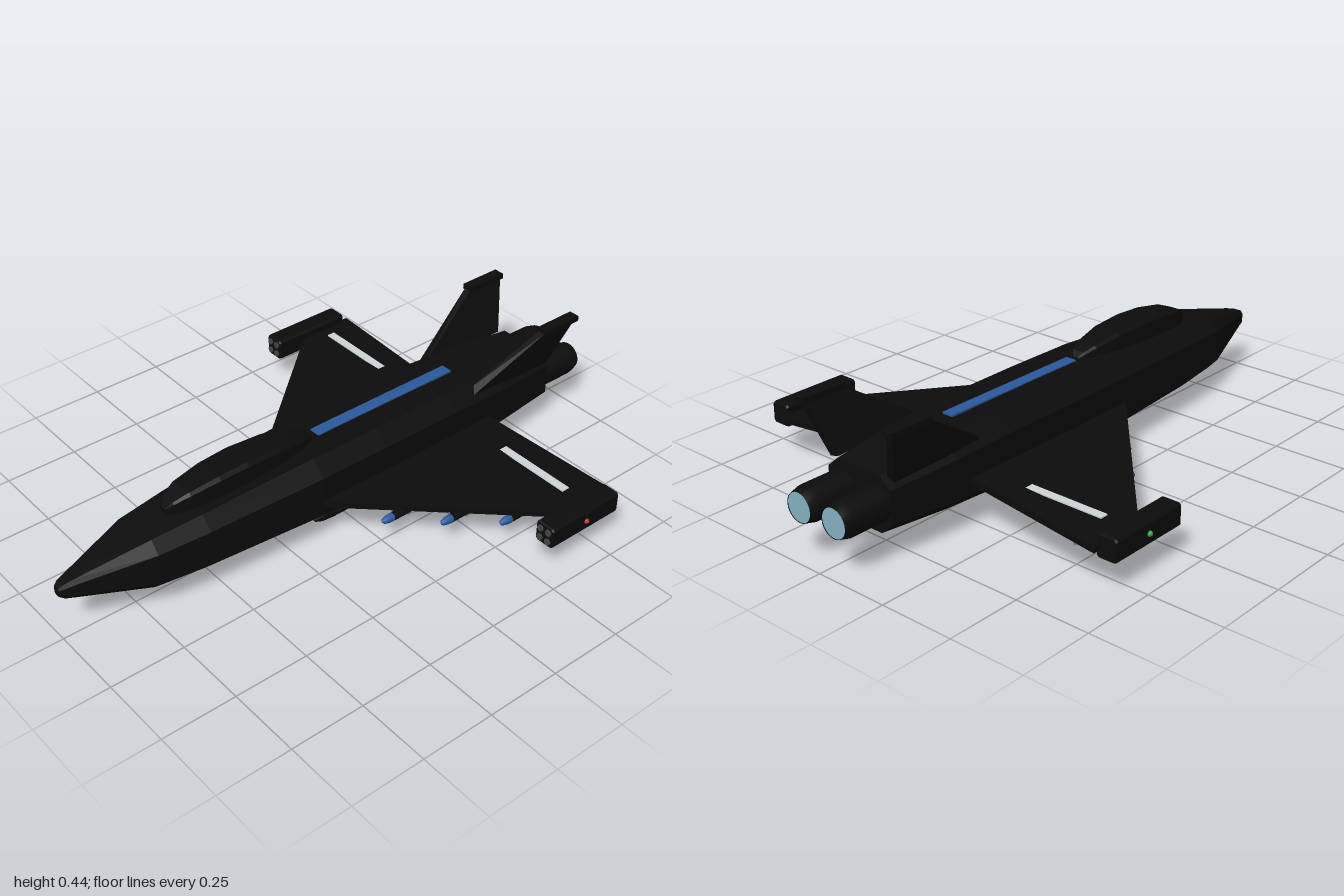
import * as THREE from 'three';
import { ConvexGeometry } from 'three/addons/geometries/ConvexGeometry.js';

const mat = (color, flatShading = false) =>
  new THREE.MeshStandardMaterial({ color, flatShading, side: THREE.DoubleSide });
const black = mat(0x0c0c0c, true), dark = mat(0x0c0c0c), grey = mat(0x44464a), blue = mat(0x2a5a9c);
const white = mat(0xd0d6d8), glow = mat(0x86b4c4), red = mat(0xc03038), green = mat(0x30a850), steel = mat(0x8a8e90);

function add(parent, name, geometry, material, x = 0, y = 0, z = 0) {
  const m = new THREE.Mesh(geometry, material);
  m.name = name;
  m.position.set(x, y, z);
  parent.add(m);
  return m;
}
const box = (w, h, d) => new THREE.BoxGeometry(w, h, d);

// Chamfered eight-sided loft; sections run front to back as [z, halfWidth, yBottom, yTop]
function loft(sections, kx, ky) {
  const pos = [], idx = [], n = 8;
  for (const [z, w, y0, y1] of sections) {
    const a = w * (1 - kx), c = (y1 - y0) * ky;
    pos.push(w, y0 + c, z, w, y1 - c, z, a, y1, z, -a, y1, z,
      -w, y1 - c, z, -w, y0 + c, z, -a, y0, z, a, y0, z);
  }
  const last = (sections.length - 1) * n;
  for (let i = 0; i < last; i += n) {
    for (let j = 0; j < n; j++) {
      const k = (j + 1) % n;
      idx.push(i + j, i + n + j, i + k, i + k, i + n + j, i + n + k);
    }
  }
  for (let j = 1; j < n - 1; j++) idx.push(0, j, j + 1, last, last + j + 1, last + j);
  const g = new THREE.BufferGeometry();
  g.setAttribute('position', new THREE.Float32BufferAttribute(pos, 3));
  g.setIndex(idx);
  const flat = g.toNonIndexed();
  flat.computeVertexNormals();
  return flat;
}

// Convex solid from corners, mirrored by s
const hull = (points, s) => new ConvexGeometry(points.map(([x, y, z]) => new THREE.Vector3(x * s, y, z)));

// Turned body along z from [radius, z] points
function turned(points, segments = 16) {
  return new THREE.LatheGeometry(points.map(([r, z]) => new THREE.Vector2(r, z)), segments).rotateX(Math.PI / 2);
}

// Underwing missile, nose tip at local z = 0
function missile() {
  const g = new THREE.Group();
  g.name = 'missile';
  add(g, 'missileNose', turned([[0.014, -0.045], [0.013, -0.025], [0.009, -0.009], [0, 0]]), blue);
  add(g, 'missileBody', turned([[0, -0.275], [0.012, -0.275], [0.014, -0.27], [0.014, -0.045]]), dark);
  for (const [z, len] of [[-0.12, 0.025], [-0.258, 0.03]]) {
    add(g, 'missileFinFlat', box(0.054, 0.003, len), steel, 0, 0, z);
    add(g, 'missileFinUpright', box(0.003, 0.054, len), steel, 0, 0, z);
  }
  add(g, 'missilePylon', box(0.008, 0.04, 0.13), dark, 0, 0.027, -0.14);
  return g;
}

// Belly bomb with cross tail
function bomb() {
  const g = new THREE.Group();
  g.name = 'bomb';
  add(g, 'bombBody', turned([[0, -0.22], [0.011, -0.22], [0.018, -0.13], [0.019, 0.06],
    [0.016, 0.1], [0.009, 0.122], [0, 0.13]]), dark);
  add(g, 'bombFinFlat', box(0.066, 0.003, 0.036), steel, 0, 0, -0.2);
  add(g, 'bombFinUpright', box(0.003, 0.066, 0.036), steel, 0, 0, -0.2);
  add(g, 'bombPylon', box(0.012, 0.04, 0.14), dark, 0, 0.028, -0.03);
  return g;
}

// Wingtip pod with chamfered edges and four launch tubes
function pod(s) {
  const g = new THREE.Group();
  g.name = 'wingtipPod';
  g.position.set(0.662 * s, 0.138, 0);
  add(g, 'podBody', loft([[-0.285, 0.032, -0.034, 0.034], [-0.29, 0.035, -0.037, 0.037],
    [-0.565, 0.035, -0.037, 0.037], [-0.572, 0.032, -0.034, 0.034]], 0.2, 0.1), black);
  for (const x of [-0.016, 0.016]) for (const y of [-0.017, 0.017]) {
    add(g, 'launchTube', new THREE.CylinderGeometry(0.011, 0.011, 0.008, 16).rotateX(Math.PI / 2), grey, x, y, -0.284);
  }
  add(g, 'navigationLight', new THREE.SphereGeometry(0.009, 12, 8), s > 0 ? red : green, 0.036 * s, 0, -0.43);
  return g;
}

export function createModel() {
  const model = new THREE.Group();
  model.name = 'fighterJet';

  add(model, 'fuselage', loft([
    [1.0, 0.014, 0.17, 0.2], [0.985, 0.024, 0.16, 0.211], [0.95, 0.034, 0.15, 0.22],
    [0.72, 0.105, 0.09, 0.27], [0.55, 0.125, 0.08, 0.284], [0.15, 0.15, 0.067, 0.303],
    [-0.1, 0.153, 0.065, 0.304], [-0.4, 0.152, 0.066, 0.302], [-0.6, 0.147, 0.075, 0.29],
    [-0.84, 0.125, 0.09, 0.268]], 0.33, 0.2), black);

  add(model, 'canopy', loft([
    [0.63, 0.012, 0.27, 0.3], [0.61, 0.03, 0.27, 0.322], [0.56, 0.046, 0.27, 0.341],
    [0.46, 0.057, 0.27, 0.356], [0.36, 0.06, 0.27, 0.361], [0.24, 0.056, 0.27, 0.355],
    [0.14, 0.042, 0.27, 0.337], [0.1, 0.027, 0.27, 0.322], [0.085, 0.012, 0.27, 0.306]], 0.2, 0.12), black);

  add(model, 'spineStripe', box(0.04, 0.006, 0.555), blue, 0, 0.304, -0.212);

  for (const s of [1, -1]) {
    add(model, 'wing', hull([
      [0.12, 0.15, 0.19], [0.12, 0.172, 0.19], [0.12, 0.15, -0.545], [0.12, 0.172, -0.545],
      [0.64, 0.127, -0.405], [0.64, 0.146, -0.405], [0.64, 0.127, -0.597], [0.64, 0.146, -0.597]], s), black);
    add(model, 'wingPanel', box(0.275, 0.004, 0.028), white, 0.434 * s, 0.162, -0.469);

    model.add(pod(s));
    [[0.275, 0.025], [0.395, -0.11], [0.51, -0.25]].forEach(([x, z]) => {
      const m = missile();
      m.position.set(x * s, 0.1, z);
      model.add(m);
    });
    const b = bomb();
    b.position.set(0.071 * s, 0.033, 0);
    model.add(b);

    // Outward-canted tail fin with a squared tip cap
    add(model, 'tailFin', hull([
      [0.1, 0.27, -0.48], [0.128, 0.262, -0.48], [0.1, 0.262, -0.825], [0.13, 0.255, -0.825],
      [0.162, 0.43, -0.74], [0.186, 0.43, -0.74], [0.162, 0.43, -0.88], [0.186, 0.43, -0.88]], s), black);
    add(model, 'tailFinCap', box(0.038, 0.018, 0.15), black, 0.175 * s, 0.433, -0.813);

    // Engine nozzle with glowing exhaust
    add(model, 'nozzle', turned([[0.047, -1.0], [0.056, -0.965], [0.056, -0.82]], 24), dark, 0.07 * s, 0.18, 0);
    add(model, 'exhaust', new THREE.CircleGeometry(0.046, 24).rotateY(Math.PI), glow, 0.07 * s, 0.18, -0.998);
  }
  return model;
}
